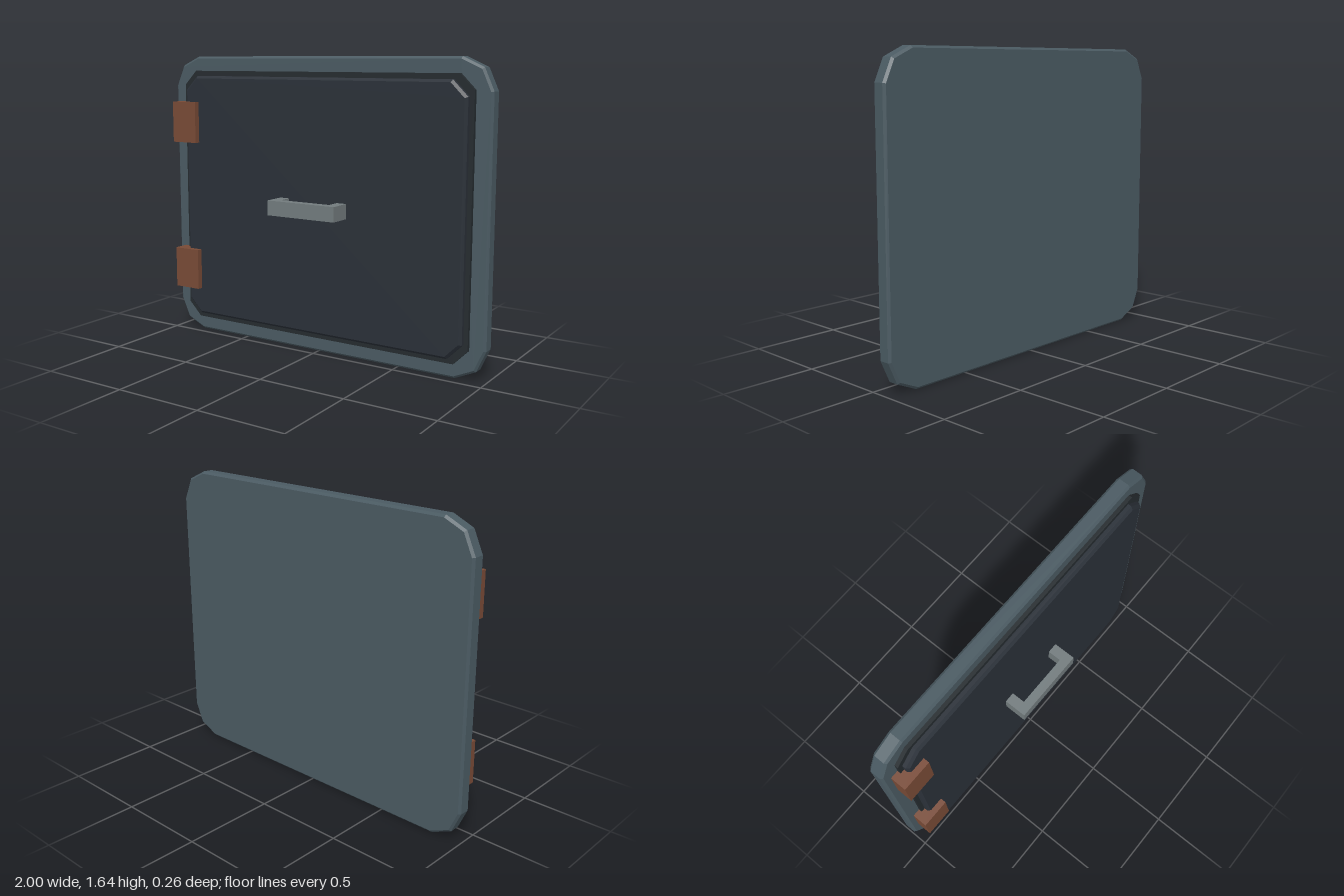
import * as THREE from 'three';

const mat = (name, color) => {
  const m = new THREE.MeshStandardMaterial({ color });
  m.name = name;
  return m;
};

// Bevelled plate; corner holds [inset x, inset y] pairs from the side edge to the top edge
function plate(name, material, halfW, halfH, back, front, bevel, corner) {
  const pts = [];
  for (const [sx, sy] of [[1, 1], [-1, 1], [-1, -1], [1, -1]]) {
    const list = sx * sy > 0 ? corner : [...corner].reverse();
    for (const [ix, iy] of list) {
      pts.push(new THREE.Vector2(sx * (halfW - bevel - ix), sy * (halfH - bevel - iy)));
    }
  }
  const geo = new THREE.ExtrudeGeometry(new THREE.Shape(pts), {
    depth: front - back - 2 * bevel,
    bevelEnabled: bevel > 0, bevelSize: bevel, bevelThickness: bevel, bevelSegments: 1,
  });
  geo.translate(0, 0.82, back + bevel);
  const mesh = new THREE.Mesh(geo, material);
  mesh.name = name;
  return mesh;
}

function box(name, material, x0, x1, y0, y1, z0, z1) {
  const mesh = new THREE.Mesh(new THREE.BoxGeometry(x1 - x0, y1 - y0, z1 - z0), material);
  mesh.position.set((x0 + x1) / 2, (y0 + y1) / 2, (z0 + z1) / 2);
  mesh.name = name;
  return mesh;
}

export function createModel() {
  const steel = mat('blue grey steel', 0x4a5a62);
  const dark = mat('dark panel', 0x2a3038);
  const rubber = mat('dark rubber', 0x252b2f);
  const rust = mat('rust brown', 0x784a36);
  const grey = mat('light grey metal', 0x727b7d);

  const group = new THREE.Group();
  group.name = 'hatchDoor';

  // Outer slab, gasket step and raised inner panel
  group.add(
    plate('outerPlate', steel, 1, 0.82, -0.13, -0.05, 0.012, [[0, 0.16], [0.05, 0.05], [0.16, 0]]),
    plate('gasket', rubber, 0.912, 0.737, -0.07, -0.03, 0, [[0, 0.08], [0.08, 0]]),
    plate('innerPanel', dark, 0.888, 0.708, -0.05, 0.004, 0.014, [[0, 0.075], [0.075, 0]]),
  );

  // Two hinges on the model's right edge
  for (const y of [0.387, 1.26]) {
    group.add(box('hinge', rust, -0.957, -0.79, y - 0.118, y + 0.118, -0.055, 0.037));
  }

  // Pull handle: grip bar on two posts
  const handle = new THREE.Group();
  handle.name = 'handle';
  handle.add(box('handleGrip', grey, -0.212, 0.212, 0.783, 0.865, 0.08, 0.13));
  for (const s of [-1, 1]) {
    handle.add(box('handlePost', grey, s * 0.183 - 0.029, s * 0.183 + 0.029, 0.783, 0.865, -0.005, 0.08));
  }
  group.add(handle);
  return group;
}
